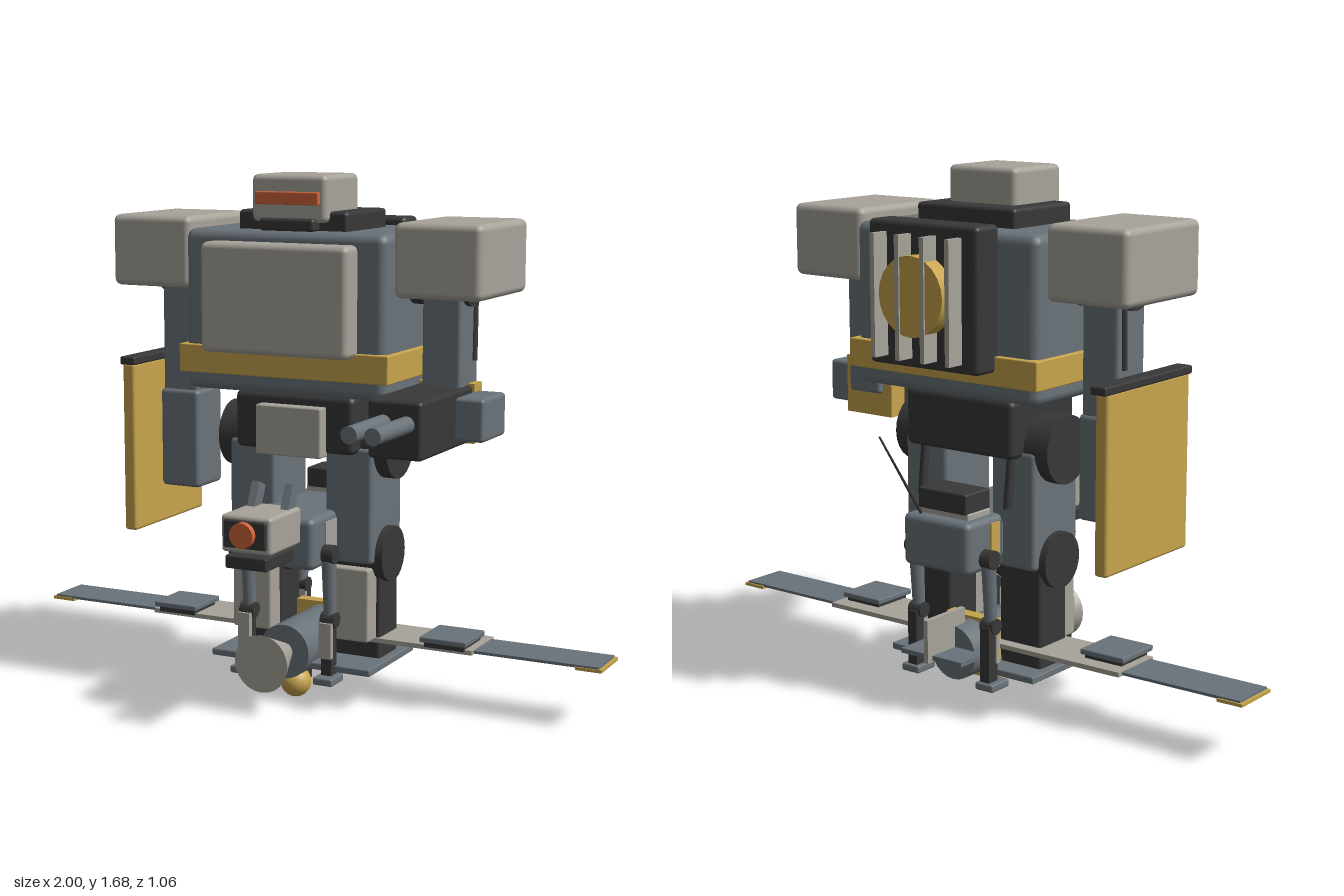
import * as THREE from 'three';
import { RoundedBoxGeometry } from 'three/addons/geometries/RoundedBoxGeometry.js';

const paint = (name, color) => {
  const m = new THREE.MeshStandardMaterial({ color });
  m.name = name;
  return m;
};

export function createModel() {
  const steel = paint('blue grey steel', 0x6a737a);
  const pale = paint('pale grey armour', 0xa8a49b);
  const dark = paint('dark grey', 0x383838);
  const gold = paint('gold', 0xc8a44d);
  const orange = paint('orange glow', 0xd0643a);

  const model = new THREE.Group();
  let part;
  const group = (name) => {
    part = new THREE.Group();
    part.name = name;
    model.add(part);
  };
  const add = (name, geo, mat) => {
    const m = new THREE.Mesh(geo, mat);
    m.name = name;
    part.add(m);
    return m;
  };
  // Box given by its extents, with optional rounded edges
  const box = (name, mat, [x0, x1], [y0, y1], [z0, z1], r = 0) => {
    const w = Math.abs(x1 - x0), h = y1 - y0, d = z1 - z0;
    const m = add(name, r ? new RoundedBoxGeometry(w, h, d, 2, r) : new THREE.BoxGeometry(w, h, d), mat);
    m.position.set((x0 + x1) / 2, (y0 + y1) / 2, (z0 + z1) / 2);
    return m;
  };
  // Cylinder or cone running from a to b
  const rod = (name, mat, a, b, r0, r1 = r0, sides = 24) => {
    const p = new THREE.Vector3(...a), q = new THREE.Vector3(...b);
    const dir = q.clone().sub(p);
    const m = add(name, new THREE.CylinderGeometry(r1, r0, dir.length(), sides), mat);
    m.position.copy(p).add(q).multiplyScalar(0.5);
    m.quaternion.setFromUnitVectors(new THREE.Vector3(0, 1, 0), dir.normalize());
    return m;
  };
  const sides = [-1, 1];

  // Torso
  group('torso');
  box('chest', steel, [-0.35, 0.35], [1.0, 1.51], [-0.335, 0.125], 0.03);
  box('chestPlate', pale, [-0.255, 0.255], [1.13, 1.475], [0.1, 0.2], 0.02);
  box('belt', gold, [-0.365, 0.365], [1.055, 1.145], [-0.355, 0.14], 0.004);
  box('pelvis', dark, [-0.21, 0.21], [0.81, 0.995], [-0.27, 0.055], 0.02);
  box('pelvisPlate', pale, [-0.115, 0.115], [0.8, 0.96], [0.04, 0.095], 0.006);

  // Head
  group('head');
  box('collar', dark, [-0.19, 0.19], [1.48, 1.57], [-0.23, 0.06], 0.012);
  box('headShell', pale, [-0.13, 0.13], [1.535, 1.682], [-0.15, 0.088], 0.018);
  box('visor', orange, [-0.11, 0.11], [1.59, 1.63], [0.075, 0.104], 0.004);
  box('chin', dark, [-0.095, 0.095], [1.508, 1.548], [0.0, 0.104], 0.01);

  // Backpack radiator
  group('backpack');
  box('pack', dark, [-0.21, 0.21], [1.095, 1.535], [-0.435, -0.33], 0.015);
  for (const x of [-0.143, -0.048, 0.048, 0.143])
    box('radiatorFin', pale, [x - 0.008, x + 0.008], [1.125, 1.5], [-0.495, -0.42]);
  rod('fanDisc', gold, [0, 1.32, -0.42], [0, 1.32, -0.49], 0.122);

  // Shoulders and upper arms
  for (const s of sides) {
    group(s > 0 ? 'leftArm' : 'rightArm');
    box('shoulder', pale, [s * 0.355, s * 0.643], [1.315, 1.545], [-0.303, 0.088], 0.022);
    rod('shoulderJoint', dark, [s * 0.3, 1.36, -0.105], [s * 0.545, 1.36, -0.105], 0.078);
    box('upperArm', steel, [s * 0.4, s * 0.53], [0.93, 1.36], [-0.178, -0.035], 0.012);
    rod('armPiston', dark, [s * 0.53, 1.33, -0.15], [s * 0.53, 1.11, -0.145], 0.011, 0.011, 10);
  }

  // Gun on the left forearm
  group('gun');
  box('gunBody', dark, [0.37, 0.545], [0.86, 1.037], [-0.15, 0.295], 0.012);
  box('gunBand', gold, [0.364, 0.553], [0.855, 1.043], [-0.16, -0.095]);
  box('magazine', steel, [0.54, 0.638], [0.883, 1.017], [-0.148, 0.038], 0.012);
  for (const x of [0.422, 0.497])
    rod('barrel', steel, [x, 0.968, 0.28], [x, 0.968, 0.532], 0.026);

  // Right forearm with shield
  group('shieldArm');
  box('forearm', steel, [-0.537, -0.393], [0.64, 0.968], [-0.185, -0.025], 0.015);
  box('shield', gold, [-0.58, -0.535], [0.515, 1.068], [-0.3, 0.14], 0.01);
  box('shieldRail', dark, [-0.586, -0.53], [1.063, 1.09], [-0.32, 0.145], 0.006);

  // Legs
  for (const s of sides) {
    group(s > 0 ? 'leftLeg' : 'rightLeg');
    rod('hipJoint', dark, [s * 0.19, 0.83, -0.105], [s * 0.3, 0.83, -0.105], 0.108);
    box('thigh', steel, [s * 0.09, s * 0.255], [0.455, 0.83], [-0.218, 0.01], 0.014);
    rod('thighPiston', dark, [s * 0.17, 0.86, -0.215], [s * 0.17, 0.65, -0.24], 0.014, 0.014, 12);
    rod('kneeJoint', dark, [s * 0.07, 0.475, -0.103], [s * 0.28, 0.475, -0.103], 0.09);
    box('shin', dark, [s * 0.1, s * 0.258], [0.13, 0.46], [-0.188, -0.05], 0.01);
    box('shinPlate', pale, [s * 0.105, s * 0.245], [0.2, 0.44], [-0.065, 0.012], 0.008);
    box('foot', steel, [s * 0.075, s * 0.285], [0.113, 0.136], [-0.262, 0.085], 0.005);
  }

  // Four-legged companion
  group('companion');
  box('body', steel, [-0.13, 0.13], [0.457, 0.623], [-0.385, 0.177], 0.02);
  for (const s of sides) {
    box('sidePanel', pale, [s * 0.126, s * 0.134], [0.5, 0.6], [-0.22, 0.09]);
    box('sideStripe', gold, [s * 0.127, s * 0.135], [0.46, 0.605], [-0.275, -0.232]);
    const ear = box('ear', steel, [s * 0.045, s * 0.072], [0.63, 0.73], [0.175, 0.22]);
    ear.rotation.x = -0.42;
  }
  box('headShell', pale, [-0.087, 0.087], [0.542, 0.66], [0.165, 0.372], 0.012);
  box('lensHousing', dark, [-0.073, 0.073], [0.56, 0.647], [0.36, 0.384], 0.005);
  rod('lens', orange, [0, 0.605, 0.37], [0, 0.605, 0.405], 0.04);
  box('jaw', dark, [-0.072, 0.072], [0.492, 0.534], [0.188, 0.375], 0.006);
  box('packBase', pale, [-0.1, 0.1], [0.61, 0.642], [-0.345, -0.235], 0.005);
  box('pack', dark, [-0.095, 0.095], [0.638, 0.704], [-0.35, -0.23], 0.006);
  rod('antenna', dark, [0.075, 0.625, -0.36], [0.092, 0.892, -0.53], 0.005, 0.003, 8);
  for (const s of sides) for (const z of [0.093, -0.303]) {
    const k = z > 0 ? 1 : -1, x = s * 0.145;
    rod('hip', dark, [s * 0.115, 0.5, z], [s * 0.17, 0.5, z], 0.03, 0.03, 16);
    rod('upperLeg', steel, [x, 0.5, z], [x, 0.285, z - k * 0.012], 0.024, 0.02, 12);
    rod('knee', dark, [s * 0.12, 0.285, z - k * 0.01], [s * 0.17, 0.285, z - k * 0.01], 0.025, 0.025, 16);
    box('lowerLeg', dark, [s * 0.128, s * 0.163], [0.1, 0.285], [z - 0.022, z + 0.02]);
    box('legGuard', pale, [s * 0.125, s * 0.166], [0.165, 0.28], [z + 0.012, z + 0.03]);
    box('paw', steel, [s * 0.115, s * 0.183], [0.083, 0.108], [z - 0.032, z + 0.055], 0.006);
  }

  // Winged drone
  group('drone');
  rod('fuselage', steel, [0, 0.17, 0.12], [0, 0.17, -0.3], 0.088);
  rod('noseDish', pale, [0, 0.17, 0.09], [0, 0.17, 0.277], 0.018, 0.093);
  box('fuselageBand', gold, [-0.1, 0.1], [0.075, 0.267], [-0.21, -0.167]);
  box('tailFin', pale, [-0.008, 0.008], [0.17, 0.308], [-0.433, -0.25]);
  box('tailPlane', steel, [-0.12, 0.12], [0.175, 0.19], [-0.41, -0.28]);
  box('cameraMount', dark, [-0.025, 0.025], [0.05, 0.09], [-0.03, 0.035]);
  add('cameraBall', new THREE.SphereGeometry(0.05, 20, 14), gold).position.set(0, 0.05, 0.037);
  box('innerWing', pale, [-0.58, 0.58], [0.191, 0.206], [-0.228, -0.04]);
  for (const s of sides) {
    box('outerWing', steel, [s * 0.56, s * 0.99], [0.194, 0.203], [-0.21, -0.056]);
    box('wingTip', gold, [s * 0.915, s * 1.0], [0.187, 0.197], [-0.216, -0.052]);
    box('wingPodBase', dark, [s * 0.42, s * 0.555], [0.2, 0.222], [-0.175, -0.035]);
    box('wingPod', steel, [s * 0.408, s * 0.567], [0.218, 0.236], [-0.185, -0.02], 0.004);
  }
  return model;
}
